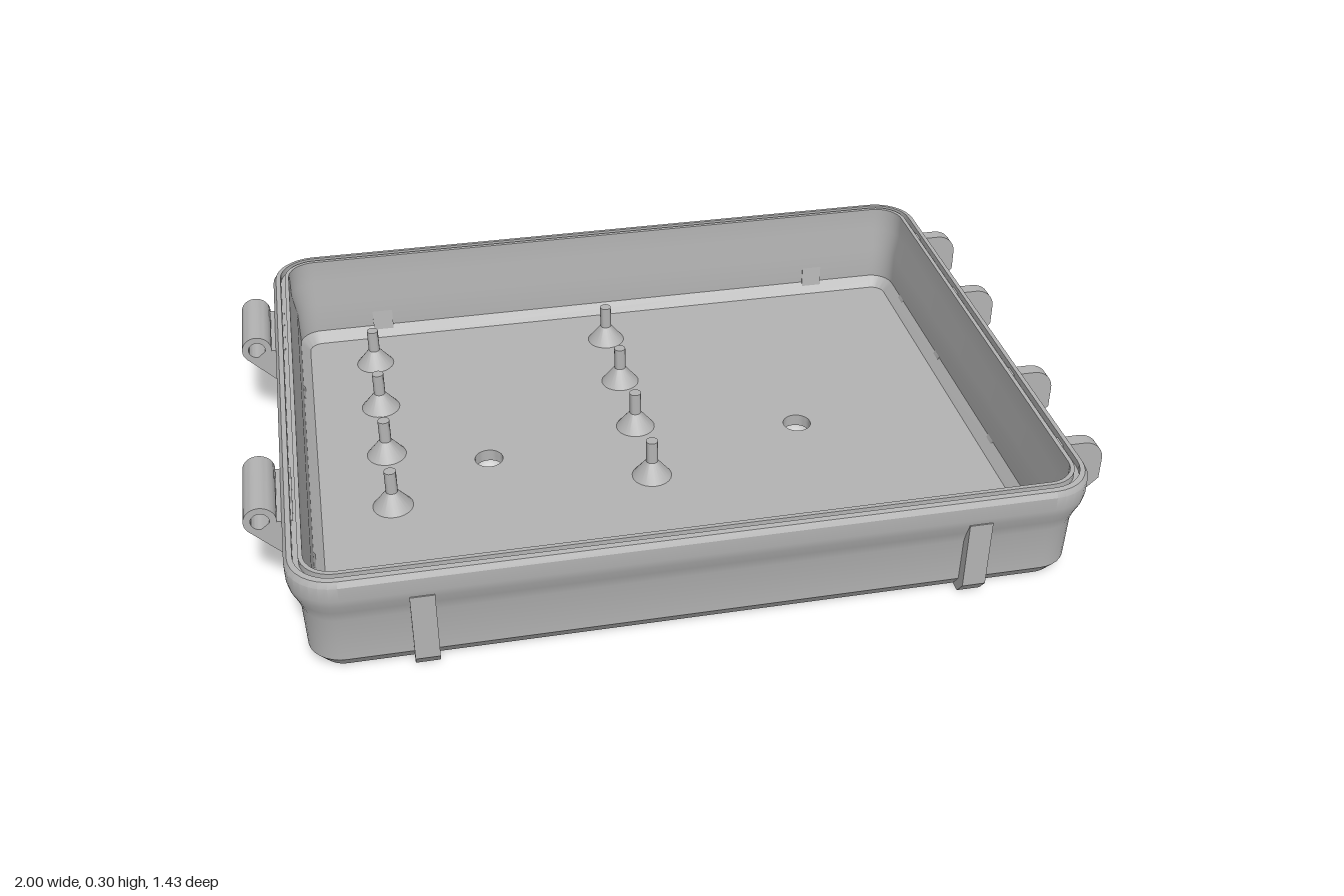
import * as THREE from 'three';
import { toCreasedNormals } from 'three/addons/utils/BufferGeometryUtils.js';

const HX = 0.915, HZ = 0.717, R = 0.11, FLOOR = 0.032;

// Rounded rectangle outline of the tray, pulled in by an inset
function outline(inset, steps = 8) {
  const r = Math.max(R - inset, 0.02), cx = HX - inset - r, cz = HZ - inset - r;
  const pts = [];
  [[1, 1], [-1, 1], [-1, -1], [1, -1]].forEach(([sx, sz], q) => {
    for (let i = 0; i <= steps; i++) {
      const t = (q + i / steps) * Math.PI / 2;
      pts.push(new THREE.Vector2(sx * cx + r * Math.cos(t), sz * cz + r * Math.sin(t)));
    }
  });
  return pts;
}

// Sweep a profile of [inset, y] points around the outline
function sweepWall(profile) {
  const pos = [], index = [];
  const n = outline(0).length;
  profile.forEach(([inset, y]) => outline(inset).forEach(p => pos.push(p.x, y, p.y)));
  for (let i = 0; i < profile.length - 1; i++) {
    for (let j = 0; j < n; j++) {
      const a = i * n + j, b = i * n + (j + 1) % n, c = a + n, d = b + n;
      index.push(a, c, b, b, c, d);
    }
  }
  const g = new THREE.BufferGeometry();
  g.setAttribute('position', new THREE.Float32BufferAttribute(pos, 3));
  g.setIndex(index);
  return g;
}

function circle(x, y, r) {
  return new THREE.Path().absarc(x, y, r, 0, Math.PI * 2, true);
}

const polygon = pts => new THREE.Shape(pts.map(p => new THREE.Vector2(...p)));

// Extrude a shape along z, centred on z = 0
function prism(shape, depth) {
  return new THREE.ExtrudeGeometry(shape, { depth, bevelEnabled: false, curveSegments: 16 })
    .translate(0, 0, -depth / 2);
}

// Floor layer with round holes given as [x, z, radius]
function plate(inset, y0, y1, holes) {
  const s = new THREE.Shape(outline(inset));
  s.holes = holes.map(h => circle(...h));
  return prism(s, y1 - y0).rotateX(-Math.PI / 2).translate(0, (y0 + y1) / 2, 0);
}

export function createModel() {
  const model = new THREE.Group();
  model.name = 'openTray';
  const grey = new THREE.MeshStandardMaterial({ color: 0xb2b2b2 });
  grey.name = 'grey plastic';

  function add(parent, name, geometry, x = 0, y = 0, z = 0, turn = 0) {
    const m = new THREE.Mesh(toCreasedNormals(geometry, 0.55), grey);
    m.name = name;
    m.position.set(x, y, z);
    m.rotation.y = turn;
    parent.add(m);
    return m;
  }
  function group(name) {
    const g = new THREE.Group();
    g.name = name;
    model.add(g);
    return g;
  }

  // Wall: chamfered foot, flared rim with seal groove, inner face
  add(model, 'wall', sweepWall([
    [0.055, 0], [0.028, 0.035], [0.025, 0.15], [0.015, 0.18], [0.004, 0.205], [0, 0.225],
    [0, 0.26], [0.008, 0.273], [0.02, 0.275], [0.02, 0.258], [0.032, 0.258], [0.032, 0.275],
    [0.042, 0.275], [0.042, 0.21], [0.052, 0.15], [0.052, 0.06], [0.075, FLOOR],
  ]));

  // Floor: two through holes, four blind recesses underneath
  const through = [[-0.41, 0, 0.036], [0.405, 0, 0.036]];
  const recesses = [];
  for (const x of [-0.63, 0.63]) for (const z of [-0.48, 0.48]) recesses.push([x, z, 0.05]);
  add(model, 'floorBottom', plate(0.055, 0, 0.02, [...through, ...recesses]));
  add(model, 'floorTop', plate(0.06, 0.02, FLOOR, through));

  // Standoff posts: cone foot with a thin pin
  const posts = group('standoffs');
  for (const x of [-0.665, -0.015]) {
    for (const z of [-0.51, -0.29, -0.07, 0.15]) {
      const profile = [[0.05, 0], [0.015, 0.045], [0.015, 0.105], [0, 0.105]];
      add(posts, 'standoff', new THREE.LatheGeometry(
        profile.map(p => new THREE.Vector2(...p)), 24), x, FLOOR, z);
    }
  }

  // Ribs on the front and back walls
  const ribs = group('wallRibs');
  const ribShape = polygon([[0.65, 0], [0.69, 0], [0.717, 0.035], [0.717, 0.21], [0.68, 0.21]]);
  for (const turn of [0, Math.PI]) {
    for (const x of [-0.63, 0.63]) {
      add(ribs, 'rib', prism(ribShape, 0.055).rotateY(-Math.PI / 2), x, 0, 0, turn);
    }
  }

  // Pierced ears on the left side
  const ears = group('hingeEars');
  const ear = polygon([[0.85, 0], [0.89, 0], [0.917, 0.035], [0.917, 0.075], [1, 0.155], [1, 0.21]]);
  ear.absarc(0.947, 0.21, 0.053, 0, Math.PI / 2, false);
  ear.lineTo(0.885, 0.263);
  ear.lineTo(0.885, 0.1);
  ear.lineTo(0.85, 0.04);
  ear.holes.push(circle(0.948, 0.175, 0.02));
  for (const z of [-0.515, -0.205, 0.205, 0.515]) add(ears, 'ear', prism(ear, 0.034), 0, 0, z);

  // Hollow barrels on the right side, with neck and supporting rib
  const latch = group('latchBarrels');
  const barrel = new THREE.Shape().absarc(0.962, 0.265, 0.037, 0, Math.PI * 2, false);
  barrel.holes.push(circle(0.962, 0.265, 0.021));
  const neck = polygon([[0.89, 0.17], [0.915, 0.165], [0.987, 0.238], [0.962, 0.243],
    [0.941, 0.26], [0.89, 0.26]]);
  const support = polygon([[0.85, 0], [0.89, 0], [0.917, 0.035], [0.917, 0.14],
    [0.99, 0.225], [0.962, 0.24], [0.885, 0.24], [0.885, 0.1], [0.85, 0.04]]);
  for (const z of [-0.36, 0.36]) {
    add(latch, 'barrel', prism(barrel, 0.2), 0, 0, z, Math.PI);
    add(latch, 'neck', prism(neck, 0.2), 0, 0, z, Math.PI);
    add(latch, 'supportRib', prism(support, 0.055), 0, 0, z, Math.PI);
  }

  return model;
}
